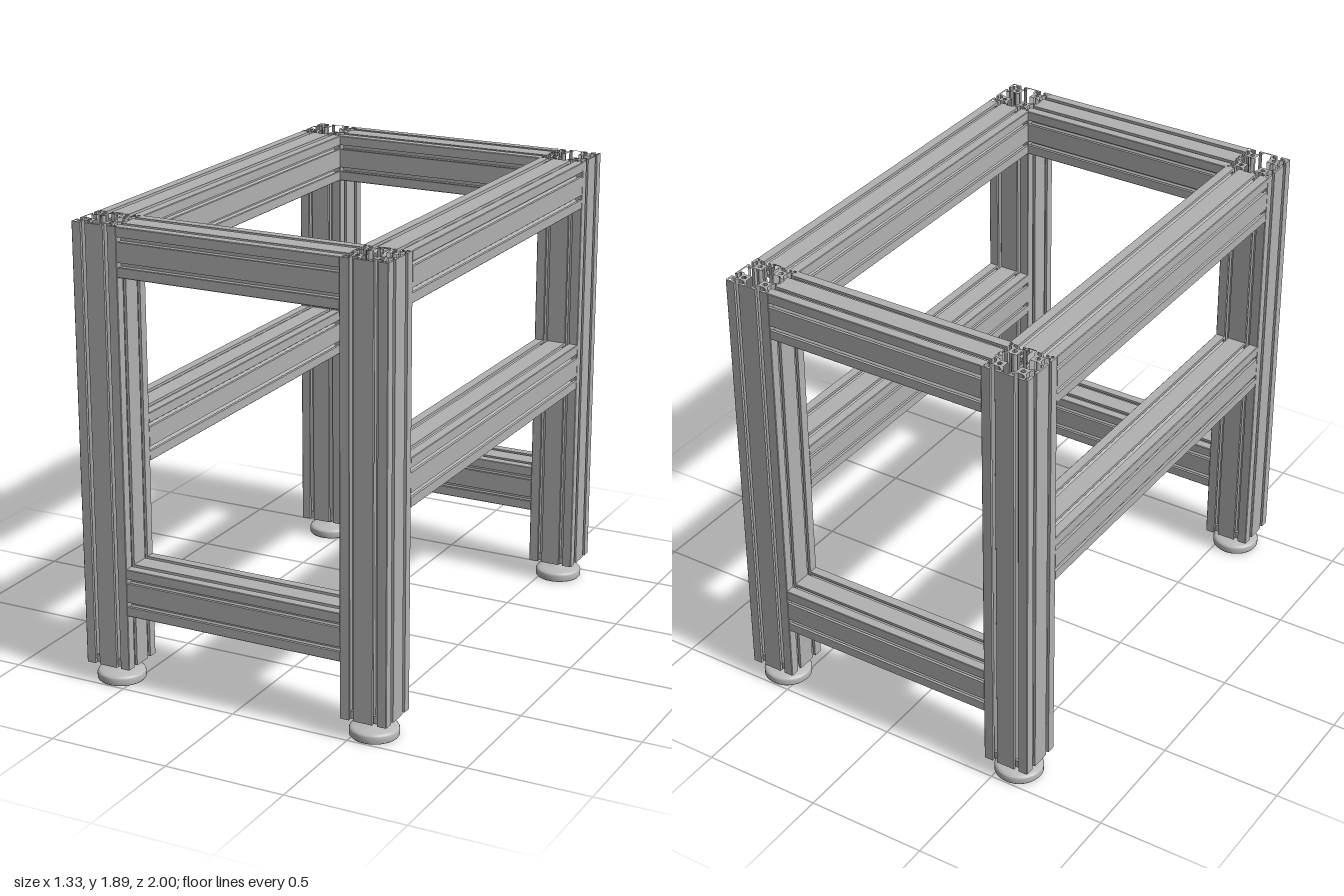
import * as THREE from 'three';

const SIZE = 0.197;            // width of the square slotted profile
const U = SIZE / 80;           // profile drawn on an 80 unit square
const LEG_X = 0.567, LEG_Z = 0.9015;
const LEG_BOTTOM = 0.085, TOP = 1.89;

const aluminium = new THREE.MeshStandardMaterial({ color: 0xb2b2b2 });
const footGrey = new THREE.MeshStandardMaterial({ color: 0xbcbcbc });

// Repeat points of the +y side on all four sides, clockwise
function fourSides(points) {
  const out = [];
  for (let k = 0; k < 4; k++) {
    for (const [x, y] of points) {
      let p = [x, y];
      for (let i = 0; i < k; i++) p = [p[1], -p[0]];
      out.push(new THREE.Vector2(p[0] * U, p[1] * U));
    }
  }
  return out;
}

// Square profile: two T-slots per side, star cavity, core bores, corner hollows
function profileShape() {
  const slot = [[16, 40], [16, 35.5], [10, 35.5], [10, 32], [16, 27.75],
    [24, 27.75], [30, 32], [30, 35.5], [24, 35.5], [24, 40]];
  const mirrored = slot.map(([x, y]) => [-x, y]).reverse();
  const shape = new THREE.Shape(fourSides([[-40, 39], [-39, 40], ...mirrored, ...slot, [39, 40]]));
  shape.holes.push(new THREE.Path(fourSides(
    [[-11, 11], [-11, 25], [-7, 30], [-7, 37], [7, 37], [7, 30], [11, 25]])));
  for (const sx of [-1, 1]) for (const sy of [-1, 1]) {
    const bore = new THREE.Path();
    bore.absarc(sx * 20 * U, sy * 20 * U, 3.6 * U, 0, Math.PI * 2, true);
    shape.holes.push(bore);
    const hollow = new THREE.Path();
    hollow.absarc(sx * 35 * U, sy * 35 * U, 2.4 * U, 0, Math.PI * 2, true);
    shape.holes.push(hollow);
  }
  return shape;
}

const shape = profileShape();

// Length of profile centred on the origin, running along the given axis
function profile(length, axis) {
  const g = new THREE.ExtrudeGeometry(shape, { depth: length, bevelEnabled: false, curveSegments: 8 });
  g.translate(0, 0, -length / 2);
  if (axis === 'x') g.rotateY(Math.PI / 2);
  if (axis === 'y') g.rotateX(-Math.PI / 2);
  return g;
}

function add(parent, name, geometry, material, x, y, z) {
  const mesh = new THREE.Mesh(geometry, material);
  mesh.name = name;
  mesh.position.set(x, y, z);
  parent.add(mesh);
  return mesh;
}

// Round levelling pad, hollow underneath
function padGeometry() {
  const pts = [[0, 0.024], [0.08, 0.024], [0.086, 0], [0.093, 0], [0.098, 0.006], [0.098, 0.028],
    [0.095, 0.035], [0.086, 0.040], [0.06, 0.045], [0.034, 0.048], [0.03, 0.054], [0, 0.054]];
  return new THREE.LatheGeometry(pts.map(p => new THREE.Vector2(...p)), 40);
}

export function createModel() {
  const model = new THREE.Group();
  model.name = 'profileFrame';

  const legLength = TOP - LEG_BOTTOM;
  const leg = profile(legLength, 'y');
  const crossRail = profile(2 * LEG_X - SIZE, 'x');
  const sideRail = profile(2 * LEG_Z - SIZE, 'z');
  const pad = padGeometry();
  const plate = new THREE.BoxGeometry(0.16, 0.032, 0.16);
  const spindle = new THREE.CylinderGeometry(0.015, 0.015, 0.09, 20);
  const nut = new THREE.CylinderGeometry(0.032, 0.032, 0.014, 6).toNonIndexed();
  nut.computeVertexNormals();
  const screw = new THREE.CylinderGeometry(0.013, 0.013, 0.006, 16);

  for (const sx of [-1, 1]) for (const sz of [-1, 1]) {
    const x = sx * LEG_X, z = sz * LEG_Z;
    add(model, 'leg', leg, aluminium, x, LEG_BOTTOM + legLength / 2, z);

    // Levelling foot with its mounting plate, spindle and nuts
    const foot = new THREE.Group();
    foot.name = 'levellingFoot';
    foot.position.set(x, 0, z);
    model.add(foot);
    add(foot, 'pad', pad, footGrey, 0, 0, 0);
    add(foot, 'spindle', spindle, footGrey, 0, 0.09, 0);
    add(foot, 'lockNut', nut, footGrey, 0, 0.064, 0);
    add(foot, 'topNut', nut, footGrey, 0, 0.121, 0);
    add(foot, 'mountingPlate', plate, aluminium, 0, 0.1, 0);
    for (const a of [-1, 1]) for (const b of [-1, 1]) {
      add(foot, 'plateScrew', screw, footGrey, a * 20 * U, 0.082, b * 20 * U);
    }
  }

  // Upper and lower rails at front and back
  for (const sz of [-1, 1]) {
    add(model, 'upperCrossRail', crossRail, aluminium, 0, TOP - SIZE / 2, sz * LEG_Z);
    add(model, 'lowerCrossRail', crossRail, aluminium, 0, 0.417, sz * LEG_Z);
  }
  // Upper and middle rails on both sides
  for (const sx of [-1, 1]) {
    add(model, 'upperSideRail', sideRail, aluminium, sx * LEG_X, TOP - SIZE / 2, 0);
    add(model, 'middleSideRail', sideRail, aluminium, sx * LEG_X, 1.002, 0);
  }
  return model;
}
